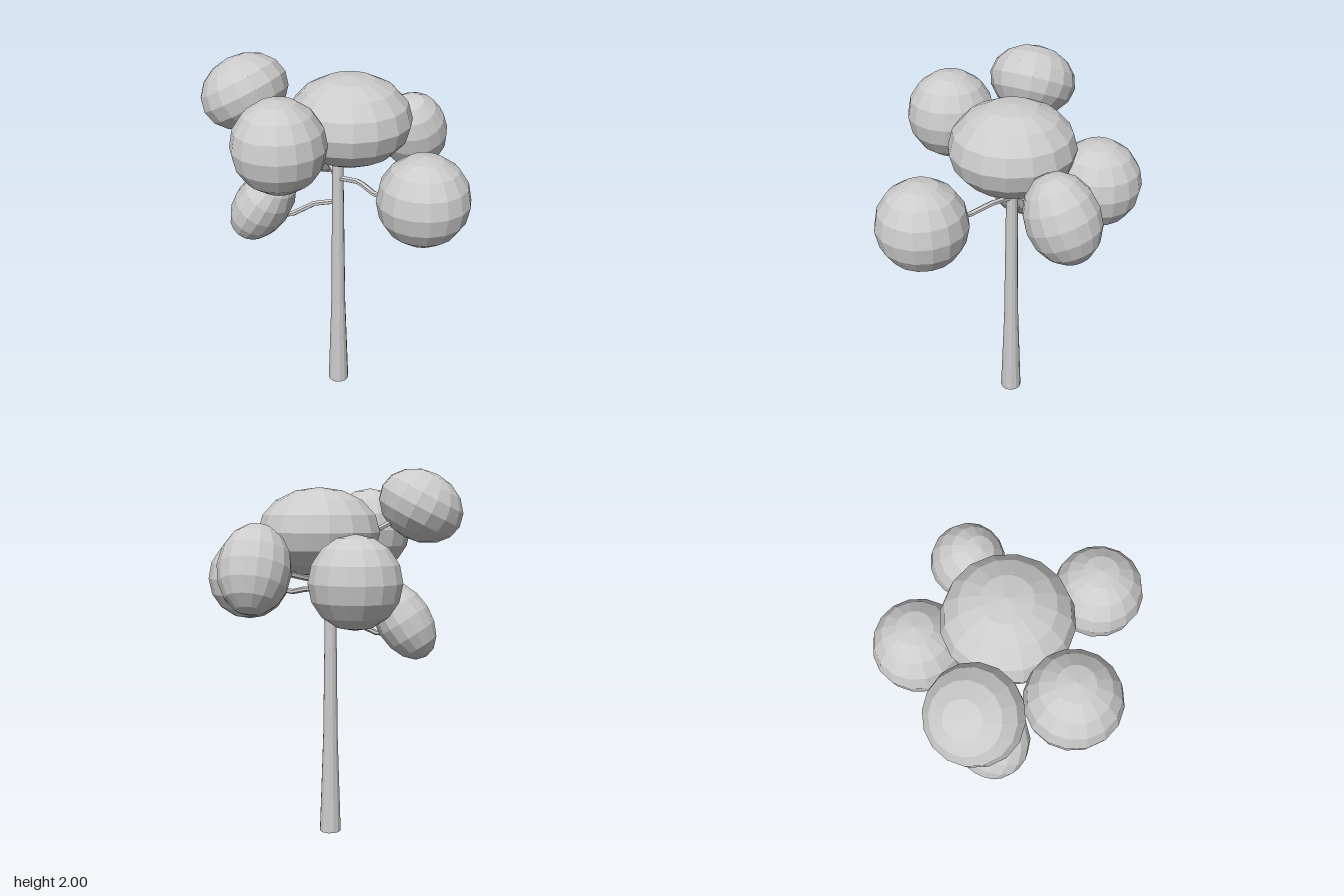
import * as THREE from 'three';

const material = new THREE.MeshStandardMaterial({ color: 0xcccccc, flatShading: true, side: THREE.DoubleSide });

// Faceted ellipsoid of leaves
function foliage(name, position, radii, tiltX = 0, tiltZ = 0) {
  const mesh = new THREE.Mesh(new THREE.SphereGeometry(1, 16, 8), material);
  mesh.name = name;
  mesh.position.set(...position);
  mesh.scale.set(...radii);
  mesh.rotation.set(THREE.MathUtils.degToRad(tiltX), 0, THREE.MathUtils.degToRad(tiltZ));
  return mesh;
}

// Thin kinked branch through a few points
function branch(name, points) {
  const path = new THREE.CurvePath();
  const v = points.map((p) => new THREE.Vector3(...p));
  for (let i = 1; i < v.length; i++) path.add(new THREE.LineCurve3(v[i - 1], v[i]));
  const mesh = new THREE.Mesh(new THREE.TubeGeometry(path, 12, 0.015, 6), material);
  mesh.name = name;
  return mesh;
}

export function createModel() {
  const tree = new THREE.Group();
  tree.name = 'tree';

  // Trunk, flared at the foot
  const profile = [[0, 0], [0.06, 0], [0.041, 0.55], [0.034, 1.1], [0.028, 1.6], [0, 1.6]];
  const trunk = new THREE.Mesh(
    new THREE.LatheGeometry(profile.map((p) => new THREE.Vector2(...p)), 12), material);
  trunk.name = 'trunk';
  trunk.position.set(-0.04, 0, -0.03);
  tree.add(trunk);

  // Crown and outer leaf clusters
  const r = 0.235;
  tree.add(
    foliage('crown', [0.015, 1.667, -0.06], [0.327, r, 0.327]),
    foliage('backRightFoliage', [-0.25, 1.43, -0.42], [r, r, r]),
    foliage('backLeftFoliage', [0.253, 1.49, -0.452], [0.187, r, 0.187], 24),
    foliage('leftFoliage', [0.49, 1.4, 0.19], [r, r, r]),
    foliage('frontFoliage', [-0.175, 1.675, 0.41], [r, r, r]),
    foliage('upperRightFoliage', [-0.505, 1.805, 0.087], [r, 0.185, r], 0, 28),
    foliage('lowerRightFoliage', [-0.42, 1.187, 0.113], [0.152, r, 0.195], 0, -33),
  );

  // Branches from the trunk into each cluster
  tree.add(
    branch('backRightBranch', [[-0.04, 1.36, -0.03], [-0.1, 1.305, -0.14], [-0.165, 1.325, -0.23], [-0.25, 1.4, -0.36]]),
    branch('backLeftBranch', [[-0.04, 1.4, -0.03], [0.06, 1.43, -0.16], [0.14, 1.46, -0.27], [0.24, 1.48, -0.4]]),
    branch('leftBranch', [[-0.04, 1.34, -0.03], [0.1, 1.36, 0.02], [0.2, 1.335, 0.08], [0.3, 1.35, 0.12], [0.45, 1.39, 0.18]]),
    branch('frontBranch', [[-0.04, 1.5, -0.03], [-0.09, 1.54, 0.08], [-0.13, 1.57, 0.2], [-0.17, 1.65, 0.36]]),
    branch('upperRightBranch', [[-0.04, 1.57, -0.03], [-0.18, 1.63, -0.05], [-0.29, 1.68, -0.035], [-0.46, 1.78, 0.07]]),
    branch('lowerRightBranch', [[-0.04, 1.2, -0.03], [-0.16, 1.185, 0.01], [-0.28, 1.12, 0.06], [-0.4, 1.12, 0.1]]),
  );
  return tree;
}
